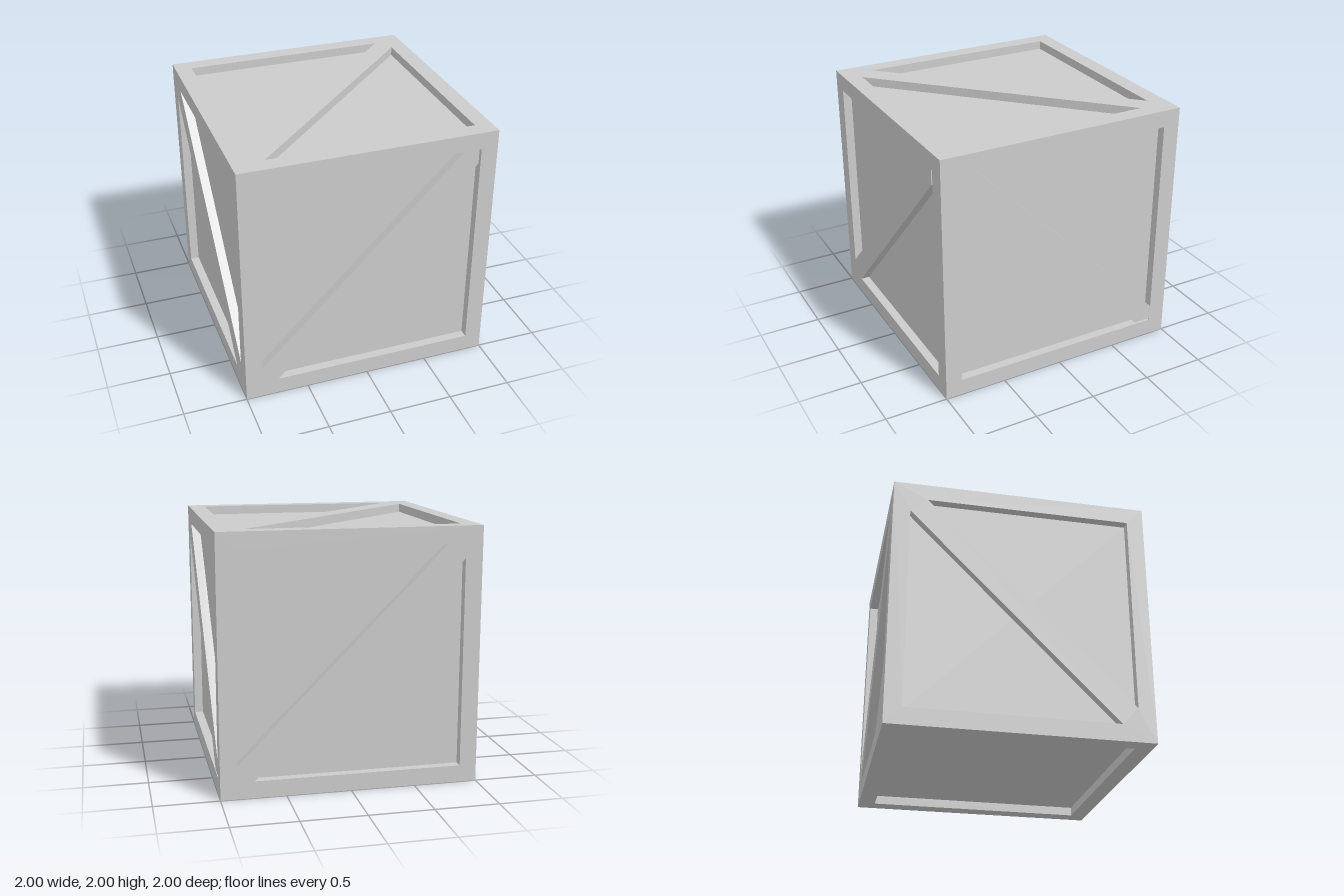
import * as THREE from 'three';

const HALF = 1;        // half the crate's side
const DEPTH = 0.07;    // how far the panels sit behind the frames
const INNER = HALF - DEPTH;
const E = 0.867;       // inner edge of the frame border

// Openings of each frame, in face coordinates (u right, v up, centred)
const frontUpper = [[-E, -0.735], [0.73, E], [-E, E]];
const sideUpper = [[-0.735, E], [E, -0.735], [E, E]];
const faces = [
  { name: 'frontFrame', holes: [frontUpper,
    [[-0.74, -E], [E, -E], [E, E], [0.85, E], [0.85, 0.75]]] },
  { name: 'backFrame', ry: Math.PI, holes: [frontUpper,
    [[-0.74, -E], [E, -E], [E, 0.755]]] },
  { name: 'rightFrame', ry: Math.PI / 2, holes: [sideUpper,
    [[-E, 0.76], [-E, -E], [E, -E], [E, -0.85], [0.725, -0.85]]] },
  { name: 'leftFrame', ry: -Math.PI / 2, holes: [sideUpper,
    [[-E, 0.755], [-E, -E], [0.74, -E]]] },
  { name: 'topFrame', rx: -Math.PI / 2, holes: [
    [[-E, E], [-E, -0.735], [0.77, E]],
    [[E, 0.735], [-0.755, -E], [E, -E]]] },
  { name: 'bottomFrame', rx: Math.PI / 2, holes: [
    [[-E, -E], [E, -E], [E, E], [-E, E]]] },
];

const points = (list) => list.map(([u, v]) => new THREE.Vector2(u, v));

// A square frame with openings, mitred at its rim to meet its neighbours
function frameGeometry(holes) {
  const shape = new THREE.Shape(points([[-1, -1], [1, -1], [1, 1], [-1, 1]]));
  for (const hole of holes) shape.holes.push(new THREE.Path(points(hole)));
  const geometry = new THREE.ExtrudeGeometry(shape, { depth: DEPTH, bevelEnabled: false });
  geometry.translate(0, 0, INNER);
  const p = geometry.attributes.position;
  for (let i = 0; i < p.count; i++) {
    if (p.getZ(i) > INNER + DEPTH / 2) continue;
    p.setX(i, THREE.MathUtils.clamp(p.getX(i), -INNER, INNER));
    p.setY(i, THREE.MathUtils.clamp(p.getY(i), -INNER, INNER));
  }
  geometry.computeVertexNormals();
  return geometry;
}

export function createModel() {
  const group = new THREE.Group();
  group.name = 'crate';
  const material = new THREE.MeshStandardMaterial({ color: 0xcccccc, flatShading: true });

  // Recessed panels: one inner box
  const core = new THREE.Mesh(new THREE.BoxGeometry(2 * INNER, 2 * INNER, 2 * INNER), material);
  core.name = 'recessedPanels';
  core.position.y = HALF;
  group.add(core);

  // Raised border and diagonal brace on each side
  for (const { name, holes, rx = 0, ry = 0 } of faces) {
    const frame = new THREE.Mesh(frameGeometry(holes), material);
    frame.name = name;
    frame.rotation.set(rx, ry, 0);
    frame.position.y = HALF;
    group.add(frame);
  }
  return group;
}
